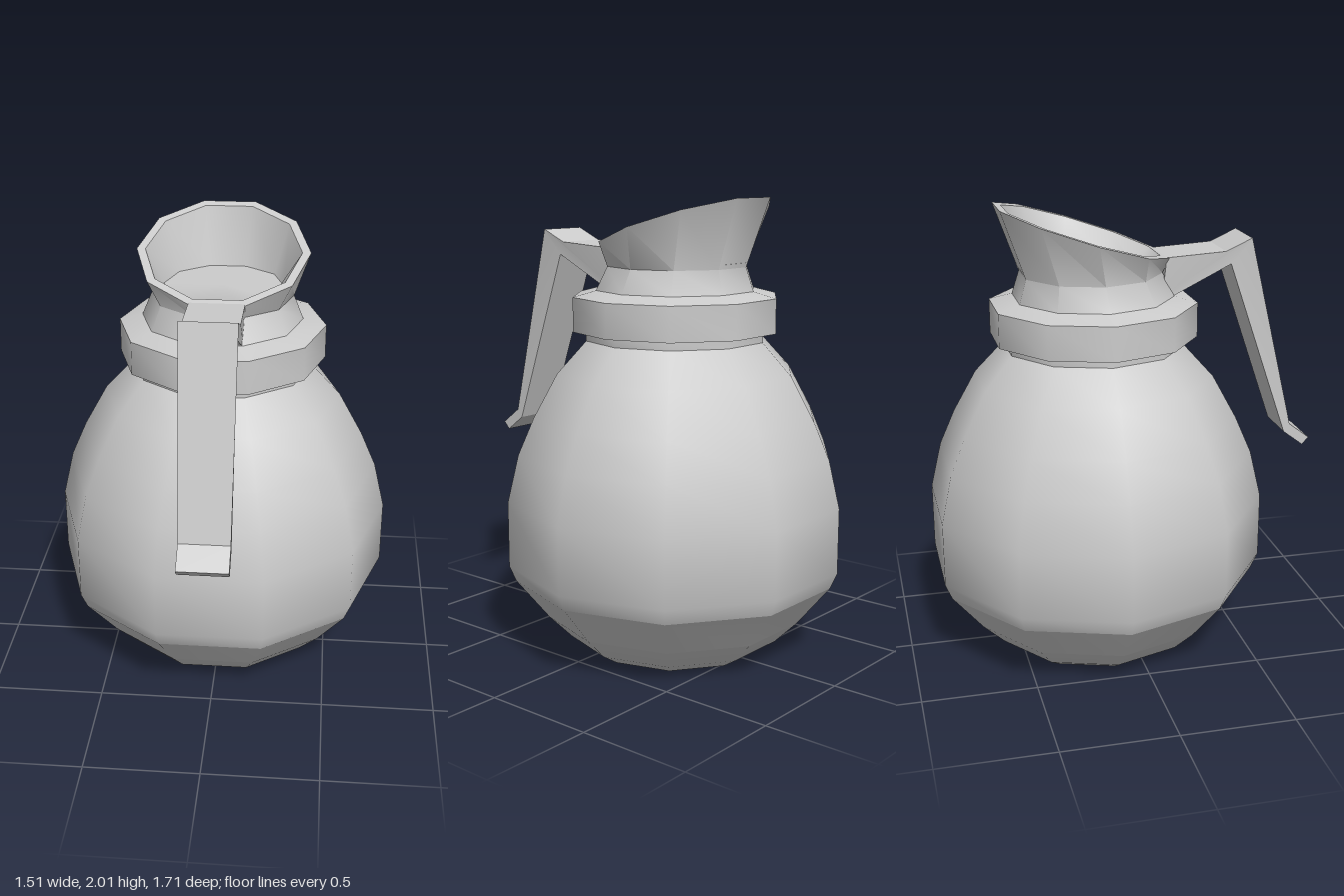
import * as THREE from 'three';
import { toCreasedNormals, mergeGeometries } from 'three/addons/utils/BufferGeometryUtils.js';

const SIDES = 10;
const AXIS_Z = -0.135; // the pot sits behind the origin, the handle in front

const material = new THREE.MeshStandardMaterial({ color: 0xcccccc });

// Ten-sided turned surface with a corner on the x axis
function turned(profile) {
  const points = profile.map(([r, y]) => new THREE.Vector2(r, y));
  return new THREE.LatheGeometry(points, SIDES, Math.PI / 2);
}

function finish(geometry, angle = 0.75) {
  return toCreasedNormals(geometry, angle);
}

function addPart(group, name, geometry, z = AXIS_Z) {
  const mesh = new THREE.Mesh(geometry, material);
  mesh.name = name;
  mesh.position.z = z;
  group.add(mesh);
}

// Height of the slanted pouring rim at a given z
function rimHeight(z) {
  return THREE.MathUtils.mapLinear(z, -0.53, 0.165, 2.0, 1.778);
}

export function createModel() {
  const pot = new THREE.Group();
  pot.name = 'coffeePot';

  // Base: separate bands, so each meets the next in a crisp edge
  const bands = [
    [[0, 0], [0.4, 0]],
    [[0.4, 0], [0.48, 0.05], [0.58, 0.15]],
    [[0.58, 0.15], [0.725, 0.33]],
  ];
  addPart(pot, 'base', mergeGeometries(bands.map((band) => finish(turned(band)))));

  // Smooth round body
  addPart(pot, 'body', finish(turned([
    [0.725, 0.33], [0.755, 0.4], [0.755, 0.69], [0.705, 0.9],
    [0.635, 1.06], [0.53, 1.25], [0.4, 1.39],
  ])));

  // Neck band and collar
  addPart(pot, 'collar', finish(turned([
    [0.4, 1.39], [0.4, 1.43], [0.457, 1.43], [0.457, 1.58], [0.355, 1.607],
  ])));

  // Spout: rings of [radius, y, z shift]; y = null follows the slanted rim
  const rings = [
    [0.355, 1.607, 0], [0.312, 1.71, -0.01], [0.38, null, -0.05],
    [0.342, null, -0.05], [0.265, 1.73, -0.065], [0, 1.73, -0.065],
  ];
  const spout = turned(rings.map(([r, y]) => [r, y ?? 2]));
  const sp = spout.attributes.position;
  for (let i = 0; i < sp.count; i++) {
    const [, y, shift] = rings[i % rings.length];
    const z = sp.getZ(i) + shift;
    sp.setZ(i, z);
    if (y === null) sp.setY(i, rimHeight(z + AXIS_Z));
  }
  addPart(pot, 'spout', finish(spout));

  // Handle: side profile in (z, y), extruded across x
  const outline = [
    [0.15, 1.61], [0.204, 1.61], [0.458, 1.735], [0.733, 0.94], [0.825, 0.87],
    [0.855, 0.903], [0.76, 0.975], [0.548, 1.846], [0.43, 1.793], [0.165, 1.778],
  ];
  const shape = new THREE.Shape(outline.map(([z, y]) => new THREE.Vector2(z, y)));
  const handle = new THREE.ExtrudeGeometry(shape, { depth: 2, bevelEnabled: false });
  handle.translate(0, 0, -1);
  handle.rotateY(-Math.PI / 2);
  // Slightly wider along the top plate than down the grip
  const hp = handle.attributes.position;
  for (let i = 0; i < hp.count; i++) {
    hp.setX(i, hp.getX(i) * (hp.getY(i) > 1.77 ? 0.118 : 0.108));
  }
  addPart(pot, 'handle', finish(handle, 0.2), 0);

  return pot;
}
